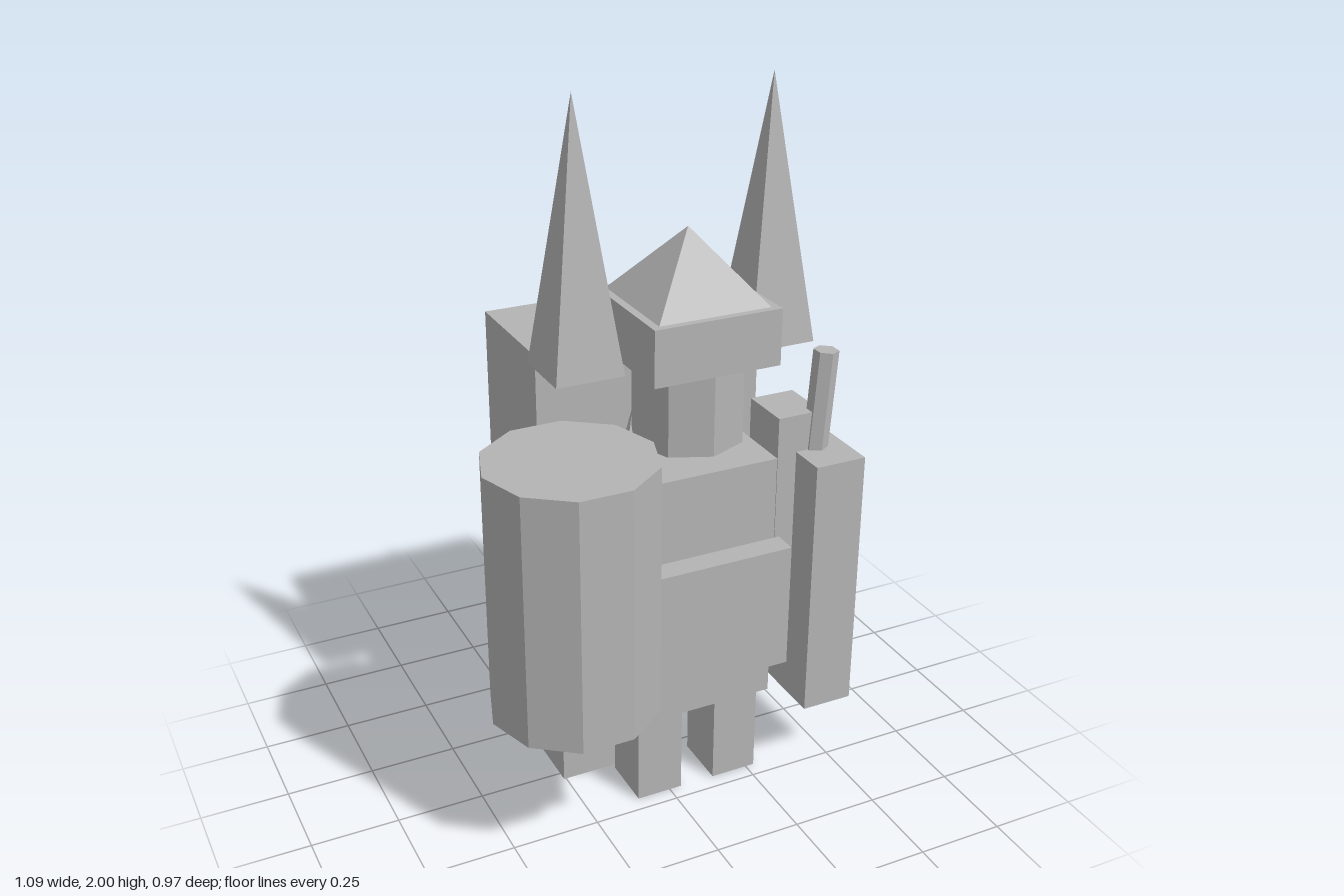
import * as THREE from 'three';

export function createModel() {
  const model = new THREE.Group();
  model.name = 'blockyArmouredFigure';
  const grey = new THREE.MeshStandardMaterial({ color: 0xb4b4b4, flatShading: true });
  grey.name = 'plainGrey';

  const CX = 0.088; // the body's middle plane

  function add(name, geometry, x, y, z) {
    const mesh = new THREE.Mesh(geometry, grey);
    mesh.name = name;
    mesh.position.set(x, y, z);
    model.add(mesh);
    return mesh;
  }

  // Box given by its extents on each axis
  function box(name, [x0, x1], [y0, y1], [z0, z1]) {
    return add(name, new THREE.BoxGeometry(x1 - x0, y1 - y0, z1 - z0),
      (x0 + x1) / 2, (y0 + y1) / 2, (z0 + z1) / 2);
  }

  // Four-sided pyramid with sides parallel to the axes
  function pyramid(name, halfWidth, y0, y1, x, z) {
    const geometry = new THREE.ConeGeometry(halfWidth * Math.SQRT2, y1 - y0, 4);
    geometry.rotateY(Math.PI / 4);
    return add(name, geometry, x, (y0 + y1) / 2, z);
  }

  // Torso and belly plate
  box('torso', [CX - 0.207, CX + 0.207], [0.28, 1.015], [-0.03, 0.237]);
  box('bellyPlate', [CX - 0.217, CX + 0.217], [0.415, 0.78], [0.246, 0.315]);

  // Head, helmet brim and pointed helmet top
  add('head', new THREE.CylinderGeometry(0.155, 0.155, 0.23, 8), CX, 1.19, 0.107);
  box('helmetBrim', [CX - 0.18, CX + 0.18], [1.305, 1.46], [-0.075, 0.278]);
  pyramid('helmetTop', 0.158, 1.46, 1.65, CX, 0.1);

  // Paired limbs and shoulder spires
  for (const [side, s] of [['right', -1], ['left', 1]]) {
    const span = (a, b) => [CX + s * a, CX + s * b].sort((p, q) => p - q);
    box(side + 'Leg', span(0.052, 0.188), [0, 0.28], [0.043, 0.205]);
    box(side + 'UpperArm', span(0.243, 0.375), [0.5, 1.1], [0.025, 0.18]);
    box(side + 'Forearm', span(0.301, 0.452), [0.215, 0.99], [0.01, 0.29]);
    pyramid(side + 'Spire', 0.096, 1.28, 2, CX + s * 0.281, 0.022);
  }

  // Ten-sided drum shield on the right arm
  const drum = new THREE.CylinderGeometry(0.232, 0.232, 0.72, 10);
  drum.rotateY(Math.PI / 2);
  add('drumShield', drum, -0.315, 0.79, 0.257);

  // Slightly tilted rod rising from the left forearm
  const rod = add('armRod', new THREE.CylinderGeometry(0.035, 0.035, 0.4, 6), 0.462, 1.072, 0.168);
  rod.rotation.z = -0.07;

  // Backpack with its wedge mount and lower peg
  box('backpack', [-0.25, 0.43], [0.535, 1.275], [-0.49, -0.12]);
  pyramid('backpackMount', 0.14, 0.77, 1.25, CX, -0.17);
  box('backpackPeg', [-0.145, 0.01], [0.41, 0.535], [-0.3, -0.22]);

  return model;
}
